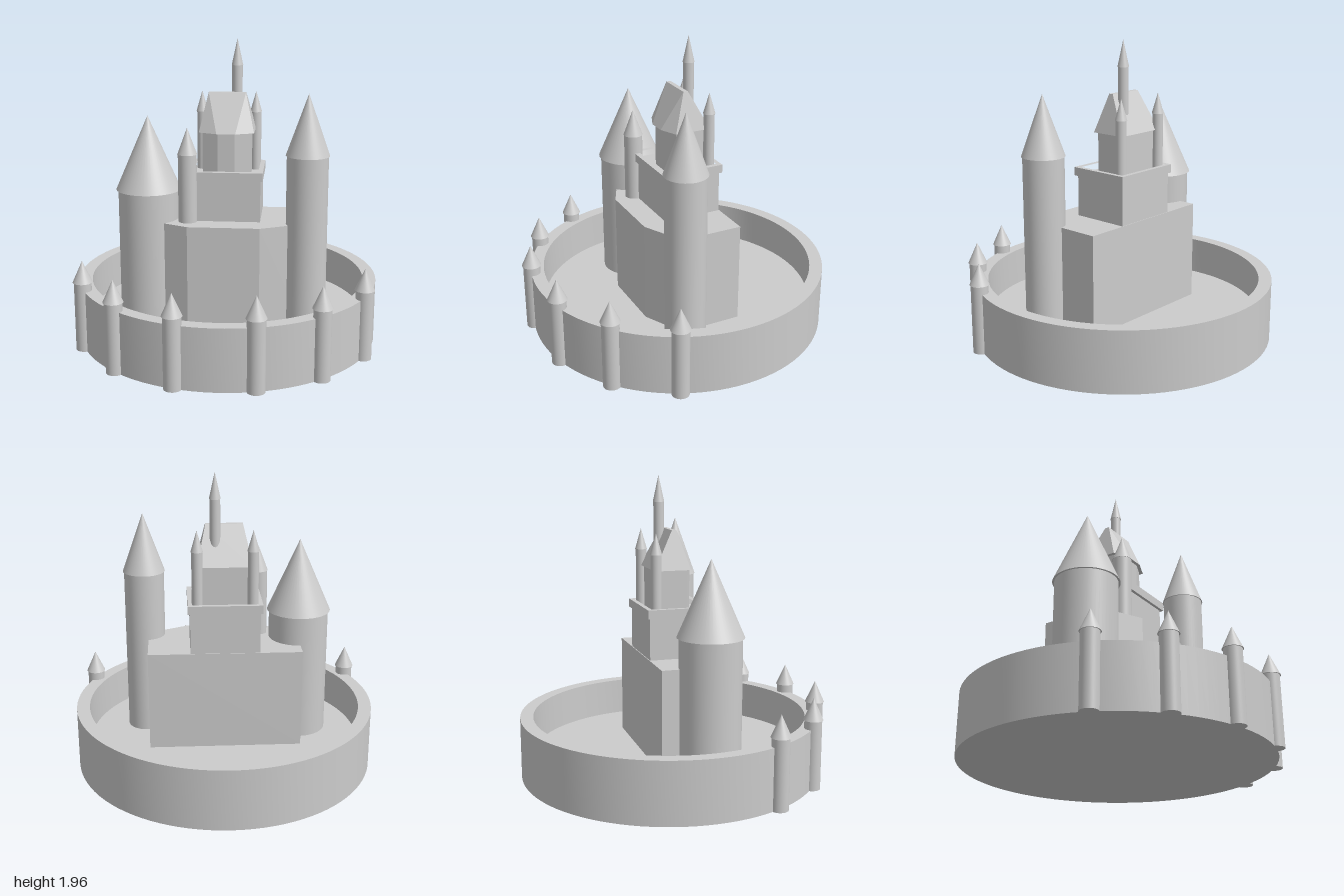
import * as THREE from 'three';
import { toCreasedNormals } from 'three/addons/utils/BufferGeometryUtils.js';
import { ConvexGeometry } from 'three/addons/geometries/ConvexGeometry.js';

const FLOOR = 0.15;

export function createModel() {
  const castle = new THREE.Group();
  castle.name = 'castle';
  const material = new THREE.MeshStandardMaterial({ color: 0xcccccc });

  function add(name, geometry, parent = castle) {
    const mesh = new THREE.Mesh(geometry, material);
    mesh.name = name;
    parent.add(mesh);
    return mesh;
  }

  // Vertical prism from a plan of [x, z] corners
  function prism(plan, bottom, top, hole) {
    const points = (list) => list.map(([x, z]) => new THREE.Vector2(x, -z));
    const shape = new THREE.Shape(points(plan));
    if (hole) shape.holes.push(new THREE.Path(points(hole)));
    return new THREE.ExtrudeGeometry(shape, { depth: top - bottom, bevelEnabled: false })
      .rotateX(-Math.PI / 2)
      .translate(0, bottom, 0);
  }

  const rect = (x, back, front) => [[x, back], [x, front], [-x, front], [-x, back]];

  // Flat back, front corners cut at a slant
  const bay = (x, back, side, frontX, front) => [
    [x, back], [x, side], [frontX, front], [-frontX, front], [-x, side], [-x, back],
  ];

  // Round tower with an overhanging cone roof
  function tower(name, x, z, radius, bottom, eaves, coneRadius, tip) {
    const group = new THREE.Group();
    group.name = name;
    group.position.set(x, 0, z);
    const shaft = new THREE.CylinderGeometry(radius, radius, eaves - bottom, 48);
    add('shaft', shaft, group).position.y = (bottom + eaves) / 2;
    const cone = new THREE.ConeGeometry(coneRadius, tip - eaves, 48);
    add('coneRoof', cone, group).position.y = (eaves + tip) / 2;
    castle.add(group);
  }

  // Round base with a raised outer wall
  const profile = [[0, 0], [0.985, 0], [0.985, 0.4], [0.9, 0.4], [0.9, FLOOR], [0, FLOOR]]
    .map(([r, y]) => new THREE.Vector2(r, y));
  const base = toCreasedNormals(new THREE.LatheGeometry(profile, 96), 0.6);
  add('baseAndOuterWall', base).position.z = -0.013;

  // Stepped keep
  add('lowerKeep', prism(bay(0.5, -0.21, 0.2, 0.23, 0.33), FLOOR, 0.81));
  add('middleKeep', prism(rect(0.225, -0.205, 0.18), 0.81, 1.09));
  add('parapet', prism(rect(0.24, -0.22, 0.2), 1.08, 1.135, rect(0.21, -0.19, 0.165)));
  add('upperKeep', prism(bay(0.155, -0.14, 0.065, 0.055, 0.108), 1.09, 1.37));

  // Steep roof narrowing to a thin flat ridge
  const eaves = bay(0.178, -0.16, 0.08, 0.06, 0.13).map(([x, z]) => new THREE.Vector3(x, 1.37, z));
  const ridge = rect(0.12, -0.03, 0).map(([x, z]) => new THREE.Vector3(x, 1.62, z));
  add('keepRoof', new ConvexGeometry([...eaves, ...ridge]));

  // Main towers
  tower('wideTower', -0.505, 0.1, 0.197, FLOOR, 1.0, 0.21, 1.48);
  tower('tallTower', 0.522, 0.19, 0.132, FLOOR, 1.255, 0.139, 1.645);
  tower('frontTurret', -0.24, 0.187, 0.06, 0.81, 1.25, 0.063, 1.42);
  tower('roofSpire', 0.06, -0.065, 0.034, 1.45, 1.79, 0.037, 1.96);

  // Mirrored turrets: behind the upper keep and along the front wall
  for (const side of [-1, 1]) {
    tower('backTurret', side * 0.178, -0.152, 0.035, 1.09, 1.475, 0.039, 1.61);
    for (const [x, z] of [[0.245, 0.936], [0.626, 0.745], [0.89, 0.41]]) {
      tower('wallTurret', side * x, z, 0.056, 0, 0.455, 0.063, 0.595);
    }
  }

  return castle;
}
